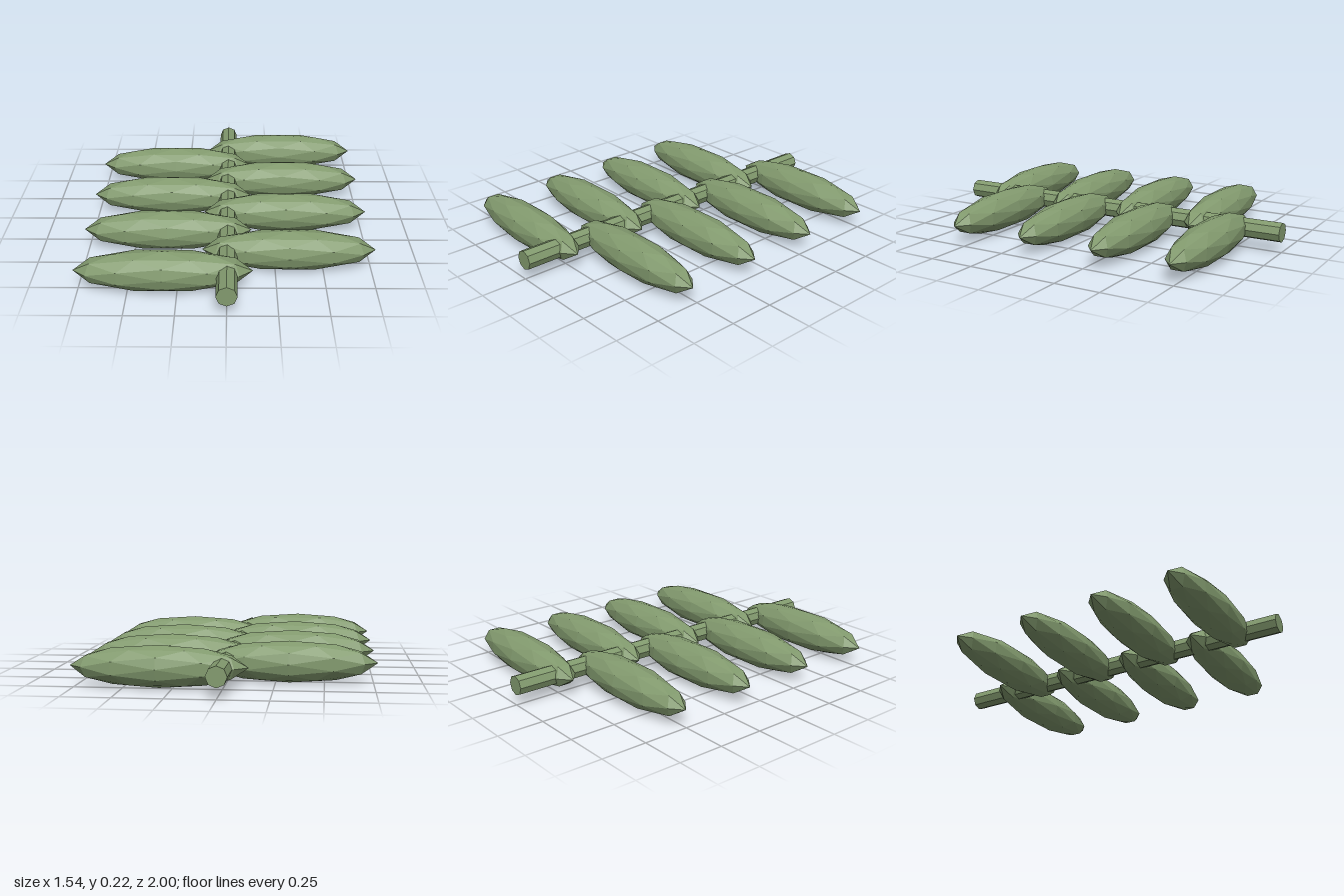
import * as THREE from 'three';

export function createModel() {
  const group = new THREE.Group();
  group.name = 'frond';
  const green = new THREE.MeshStandardMaterial({ color: 0x829a6e, flatShading: true });
  green.name = 'leafGreen';
  const radius = 0.108;

  // Straight eight-sided stem running front to back
  const stem = new THREE.Mesh(new THREE.CylinderGeometry(0.053, 0.053, 2, 8), green);
  stem.name = 'stem';
  stem.rotation.x = Math.PI / 2;
  stem.position.y = radius;
  group.add(stem);

  // Faceted spindle leaflets alternating from side to side
  const leafShape = new THREE.IcosahedronGeometry(1, 1).scale(0.45, radius, radius);
  for (let i = 0; i < 8; i++) {
    const side = i % 2 === 0 ? 1 : -1;
    const leaf = new THREE.Mesh(leafShape, green);
    leaf.name = side > 0 ? 'leftLeaflet' : 'rightLeaflet';
    leaf.position.set(side * 0.32, radius, -0.735 + i * 0.2133);
    group.add(leaf);
  }
  return group;
}
